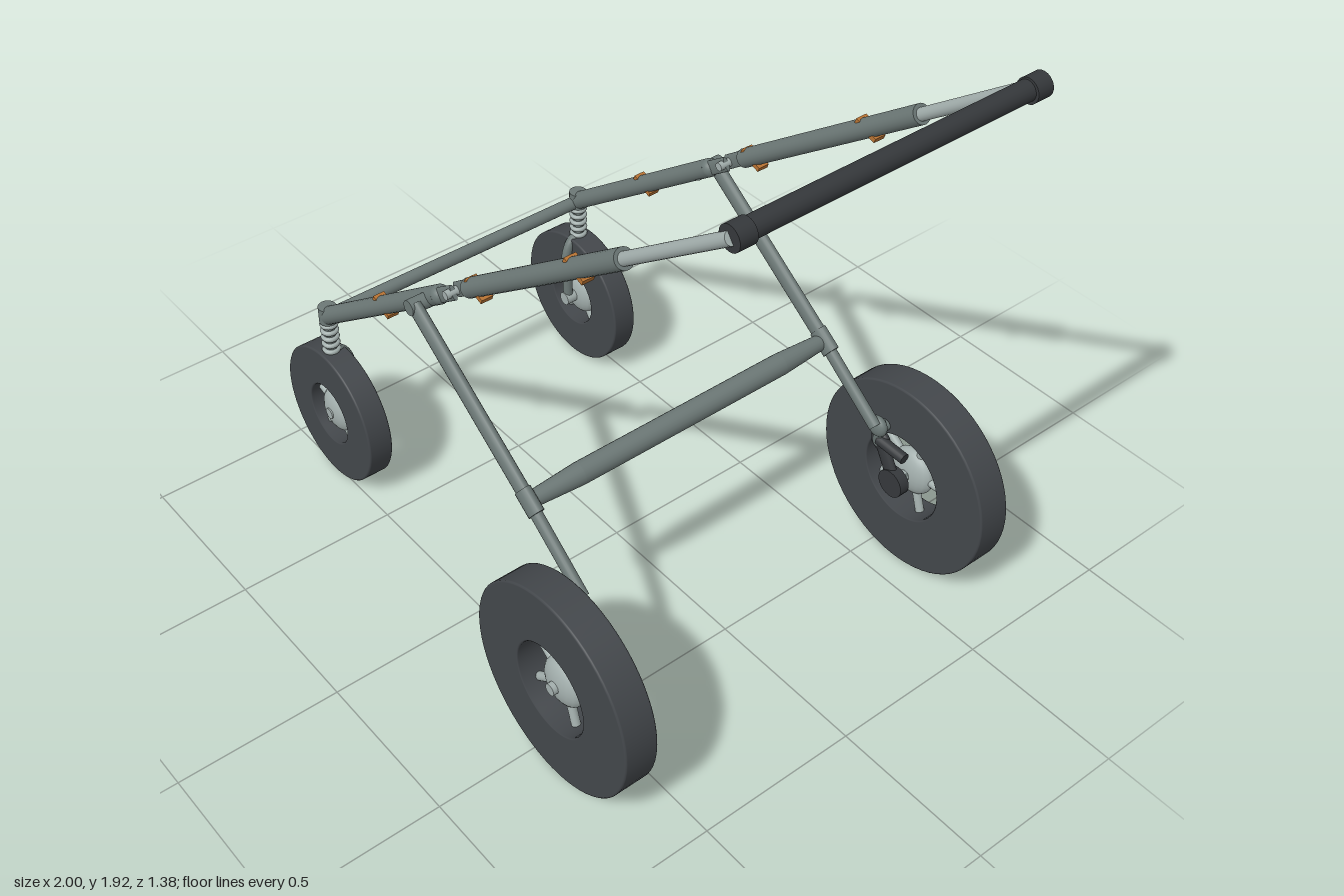
import * as THREE from 'three';

const mat = (name, color) => {
  const m = new THREE.MeshStandardMaterial({ color });
  m.name = name;
  return m;
};
const V = (x, y, z) => new THREE.Vector3(x, y, z);

export function createModel() {
  const frame = mat('frame grey', 0x6c7876);
  const light = mat('light metal', 0xa3afad);
  const rubber = mat('tyre rubber', 0x43474b);
  const dark = mat('dark grip', 0x35383b);
  const orange = mat('orange clip', 0xb87333);
  const root = new THREE.Group();
  root.name = 'foldingCart';

  const add = (parent, name, geo, material, pos) => {
    const m = new THREE.Mesh(geo, material);
    m.name = name;
    if (pos) m.position.copy(pos);
    parent.add(m);
    return m;
  };
  // Straight rod between two points; r2 tapers the far end
  const rod = (parent, name, a, b, r, material, r2 = r) => {
    const d = b.clone().sub(a);
    const m = add(parent, name, new THREE.CylinderGeometry(r2, r, d.length(), 20), material,
      a.clone().add(b).multiplyScalar(0.5));
    m.quaternion.setFromUnitVectors(V(0, 1, 0), d.normalize());
    return m;
  };
  const ball = (parent, name, p, r, material) =>
    add(parent, name, new THREE.SphereGeometry(r, 20, 14), material, p);

  // Wheel with open centre, spokes and domed hub, axle along z
  const wheel = (name, center, R, hole, width, startAngle) => {
    const g = new THREE.Group();
    g.name = name;
    g.position.copy(center);
    root.add(g);
    const h = width / 2, b = 0.003;
    const profile = [
      [hole, -h + b], [hole + b, -h], [hole + 2 * b, -h], [R - 2 * b, -h], [R - b, -h], [R, -h + b], [R, -h + 2 * b],
      [R, h - 2 * b], [R, h - b], [R - b, h], [R - 2 * b, h], [hole + 2 * b, h], [hole + b, h], [hole, h - b], [hole, -h + b],
    ].map(([x, y]) => new THREE.Vector2(x, y));
    add(g, 'tyre', new THREE.LatheGeometry(profile, 64), rubber).rotation.x = Math.PI / 2;
    for (let i = 0; i < 5; i++) {
      const a = startAngle + (i * Math.PI * 2) / 5;
      rod(g, 'spoke', V(0, 0, 0), V(Math.cos(a) * (hole + 0.01), Math.sin(a) * (hole + 0.01), 0), 0.013, light);
    }
    ball(g, 'hub', V(0, 0, 0), R * 0.245 + (R < 0.25 ? 0.018 : 0), light).scale.z = 0.5;
    rod(g, 'axle', V(0, 0, -h), V(0, 0, h), 0.018, light);
  };

  for (const s of [1, -1]) {
    const side = new THREE.Group();
    side.name = s > 0 ? 'leftSide' : 'rightSide';
    root.add(side);
    const P = (x, y, z = 0.472) => V(x, y, s * z);

    // Side rails and telescopic handle tubes
    rod(side, 'lowerRail', P(-0.78, 0.595), P(-0.16, 1.055), 0.028, frame);
    ball(side, 'lowerRailEnd', P(-0.16, 1.055), 0.028, frame);
    rod(side, 'upperRail', P(-0.015, 1.165), P(0.615, 1.632), 0.028, frame);
    rod(side, 'handleTube', P(0.6, 1.62), P(0.965, 1.892), 0.018, light);

    // Folding hinge, offset the same way on both sides
    const hingeZ = s * 0.472;
    rod(side, 'hingeLowerLink', V(-0.18, 1.04, hingeZ + 0.008), V(-0.08, 1.113, hingeZ + 0.008), 0.022, frame).scale.z = 0.35;
    rod(side, 'hingeUpperLink', V(-0.1, 1.1, hingeZ - 0.015), V(0.01, 1.184, hingeZ - 0.015), 0.022, frame).scale.z = 0.3;
    rod(side, 'hingePin', V(-0.09, 1.107, hingeZ - 0.025), V(-0.09, 1.107, hingeZ + 0.03), 0.013, light);

    // Orange locking clips
    for (const [x, y] of [[-0.445, 0.841], [0.025, 1.186], [0.447, 1.503]]) {
      const clip = add(side, 'clip', new THREE.BoxGeometry(0.078, 0.015, 0.036), orange, P(x, y));
      clip.rotation.z = -0.35;
    }

    // Rear leg: flattened tube, joint and thin lower end
    rod(side, 'rearLeg', P(-0.2, 1.02, 0.528), P(0.29, 0.675, 0.528), 0.028, frame).scale.z = 0.65;
    rod(side, 'rearLegLower', P(0.28, 0.682, 0.528), P(0.52, 0.5, 0.528), 0.021, frame).scale.z = 0.8;
    rod(side, 'legCollar', P(0.265, 0.693, 0.528), P(0.325, 0.65, 0.528), 0.033, frame).scale.z = 0.65;
    rod(side, 'legPivot', P(-0.2, 1.02, 0.455), P(-0.2, 1.02, 0.548), 0.023, frame);

    // Rear trailing arm
    ball(side, 'armJoint', P(0.515, 0.49, 0.545), 0.034, frame).scale.z = 0.6;
    rod(side, 'armLink', P(0.515, 0.5, 0.55), P(0.515, 0.42, 0.562), 0.02, frame);
    ball(side, 'armUpperBoss', P(0.52, 0.43, 0.56), 0.036, dark).scale.z = 0.5;
    rod(side, 'trailingArm', P(0.52, 0.43, 0.56), P(0.585, 0.315, 0.56), 0.024, dark).scale.z = 0.6;
    rod(side, 'damper', P(0.52, 0.44, 0.55), P(0.62, 0.43, 0.555), 0.017, dark);
    rod(side, 'armLowerBoss', P(0.585, 0.315, 0.543), P(0.585, 0.315, 0.576), 0.045, dark);
    rod(side, 'rearAxle', P(0.585, 0.315, 0.55), P(0.585, 0.315, 0.64), 0.018, frame);
    rod(side, 'armStub', P(0.51, 0.47, 0.54), P(0.51, 0.47, 0.585), 0.018, frame);

    // Front post, spring and one-sided fork
    rod(side, 'frontSocket', P(-0.787, 0.57), P(-0.787, 0.625), 0.028, frame);
    rod(side, 'springCore', P(-0.787, 0.45), P(-0.787, 0.58), 0.019, frame);
    for (let i = 0; i < 5; i++) {
      const ring = add(side, 'springCoil', new THREE.TorusGeometry(0.021, 0.008, 8, 20), light, P(-0.787, 0.464 + i * 0.024));
      ring.rotation.x = Math.PI / 2;
    }
    const fork = new THREE.CatmullRomCurve3([
      P(-0.785, 0.462, 0.472), P(-0.784, 0.445, 0.44), P(-0.782, 0.4, 0.418), P(-0.778, 0.31, 0.417), P(-0.775, 0.22, 0.417),
    ]);
    add(side, 'fork', new THREE.TubeGeometry(fork, 20, 0.016, 12), frame);
    rod(side, 'forkFoot', P(-0.775, 0.23, 0.4), P(-0.775, 0.23, 0.47), 0.022, light);

    // Handle end cap
    rod(side, 'handleCap', P(0.962, 1.89, 0.425), P(0.962, 1.89, 0.475), 0.034, dark);

    wheel('frontWheel', P(-0.775, 0.23, 0.472), 0.228, 0.1, 0.08, Math.PI / 2);
    wheel('rearWheel', P(0.585, 0.315, 0.64), 0.315, 0.14, 0.104, 0);
  }

  // Cross members
  rod(root, 'handleGrip', V(0.96, 1.89, -0.43), V(0.96, 1.89, 0.43), 0.028, dark);
  rod(root, 'frontCrossbar', V(-0.79, 0.585, -0.472), V(-0.79, 0.585, 0.472), 0.021, frame);
  rod(root, 'rearCrossbar', V(0.29, 0.67, -0.36), V(0.29, 0.67, 0.36), 0.033, frame);
  for (const s of [1, -1]) {
    rod(root, 'rearCrossbarEnd', V(0.29, 0.67, s * 0.36), V(0.29, 0.67, s * 0.525), 0.033, frame, 0.023);
  }
  return root;
}
